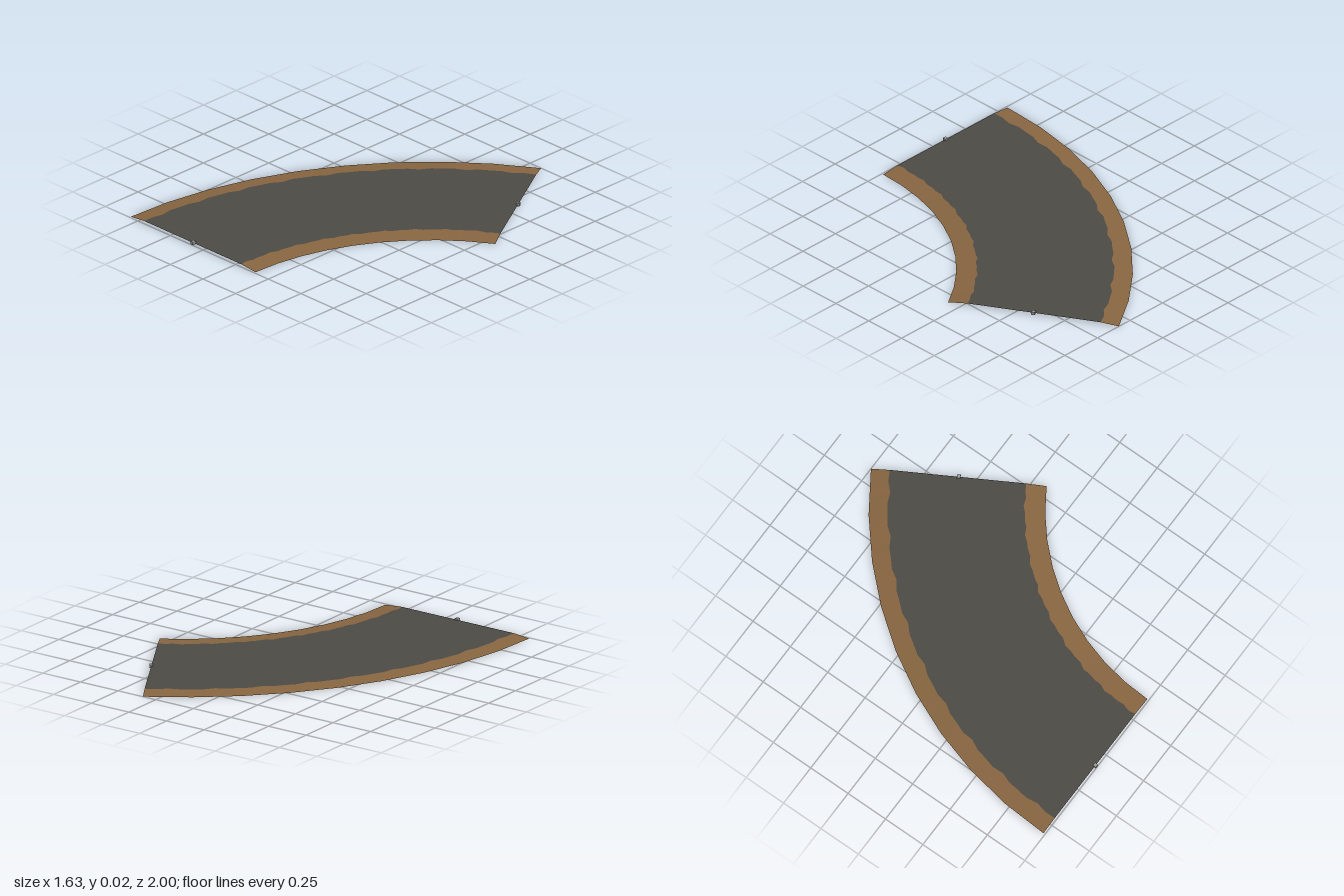
import * as THREE from 'three';

const CX = 1.4845, CZ = 0.99;          // centre of the bend
const ARC = Math.PI / 3, SEGS = 9, SUB = 4;
const OUTER = 2.298, INNER = 1.342, ROAD_OUT = 2.195, ROAD_IN = 1.455, MID = 1.82;
const TOP = 0.01;

// Point on the faceted bend: straight runs between the main cross-sections
function bendPoint(radius, y, step) {
  const seg = Math.min(Math.floor(step / SUB), SEGS - 1);
  const at = (i) => new THREE.Vector3(
    CX - radius * Math.cos(ARC * i / SEGS), y, CZ - radius * Math.sin(ARC * i / SEGS));
  return at(seg).lerp(at(seg + 1), step / SUB - seg);
}

// Ragged edge between asphalt and dirt
const wobble = [0, 0.004, -0.008, 0.006];
const outEdge = (s) => ROAD_OUT + wobble[s % SUB];
const inEdge = (s) => ROAD_IN - wobble[(s + 1) % SUB] * 0.8;

// Strip of quads between an outer and an inner edge, each given as [radius(step), y]
function strip(name, [outR, outY], [inR, inY], material) {
  const pos = [], index = [];
  for (let s = 0; s <= SEGS * SUB; s++) {
    pos.push(...bendPoint(outR(s), outY, s).toArray(), ...bendPoint(inR(s), inY, s).toArray());
    if (s > 0) {
      const a = 2 * (s - 1);
      index.push(a, a + 1, a + 3, a, a + 3, a + 2);
    }
  }
  const geo = new THREE.BufferGeometry();
  geo.setAttribute('position', new THREE.Float32BufferAttribute(pos, 3));
  geo.setIndex(index);
  geo.computeVertexNormals();
  const mesh = new THREE.Mesh(geo, material);
  mesh.name = name;
  return mesh;
}

export function createModel() {
  const asphalt = new THREE.MeshStandardMaterial({ color: 0x4d4a45, side: THREE.DoubleSide });
  asphalt.name = 'asphalt';
  const dirt = new THREE.MeshStandardMaterial({ color: 0x876540, side: THREE.DoubleSide });
  dirt.name = 'dirt';
  const grey = new THREE.MeshStandardMaterial({ color: 0x9a9a9a });
  grey.name = 'marker grey';

  const model = new THREE.Group();
  model.name = 'curvedRoad';

  // Road surface and its sloping shoulders
  model.add(
    strip('roadSurface', [outEdge, TOP], [inEdge, TOP], asphalt),
    strip('outerShoulder', [() => OUTER, 0], [outEdge, TOP], dirt),
    strip('innerShoulder', [inEdge, TOP], [() => INNER, 0], dirt),
  );

  // Small connector cubes in the middle of both ends
  [['startConnector', 0], ['endConnector', SEGS * SUB]].forEach(([name, step]) => {
    const cube = new THREE.Mesh(new THREE.BoxGeometry(0.02, 0.018, 0.02), grey);
    cube.position.copy(bendPoint(MID, 0.011, step));
    cube.rotation.y = step ? -ARC : 0;
    cube.name = name;
    model.add(cube);
  });
  return model;
}
